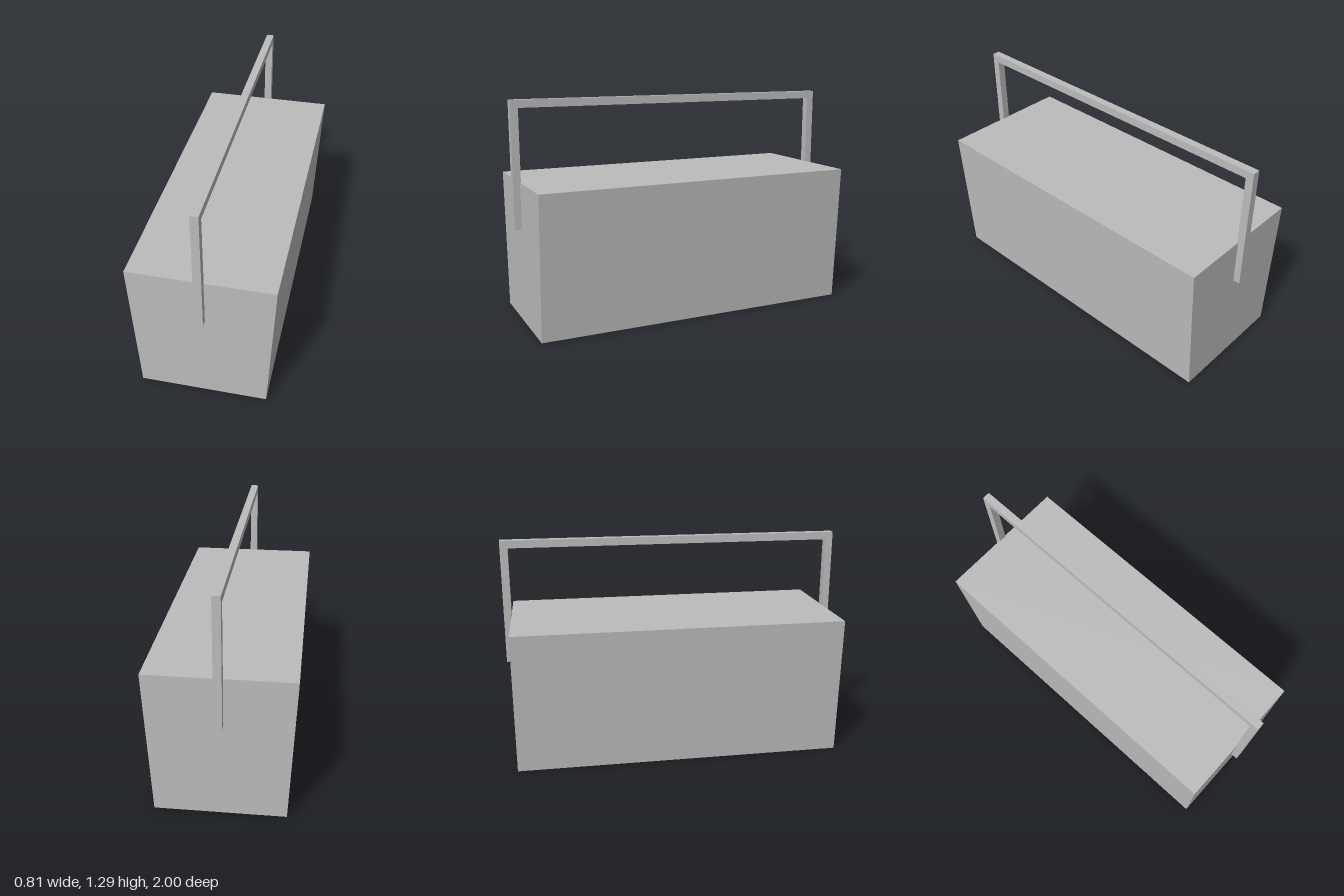
import * as THREE from 'three';

// Extrude a closed outline by the given depth, centred on its own plane
function prism(points, depth) {
  const shape = new THREE.Shape(points.map(([x, y]) => new THREE.Vector2(x, y)));
  const geometry = new THREE.ExtrudeGeometry(shape, { depth, bevelEnabled: false });
  return geometry.translate(0, 0, -depth / 2);
}

export function createModel() {
  const model = new THREE.Group();
  model.name = 'carryBox';
  const grey = new THREE.MeshStandardMaterial({ color: 0xbcbcbc });
  grey.name = 'plain grey';

  // Closed box with sides that flare towards the top
  const body = new THREE.Mesh(
    prism([[-0.362, 0], [0.362, 0], [0.403, 0.826], [-0.403, 0.826]], 1.92), grey);
  body.name = 'body';
  model.add(body);

  // Square-section handle: two legs on the end walls joined by a long bar
  const foot = 0.558, top = 1.287, outer = 1, inner = 0.955, underside = 1.242;
  const handle = new THREE.Mesh(prism([
    [-outer, foot], [-inner, foot], [-inner, underside], [inner, underside],
    [inner, foot], [outer, foot], [outer, top], [-outer, top],
  ], 0.045), grey);
  handle.name = 'handle';
  handle.rotation.y = Math.PI / 2;
  model.add(handle);

  return model;
}
